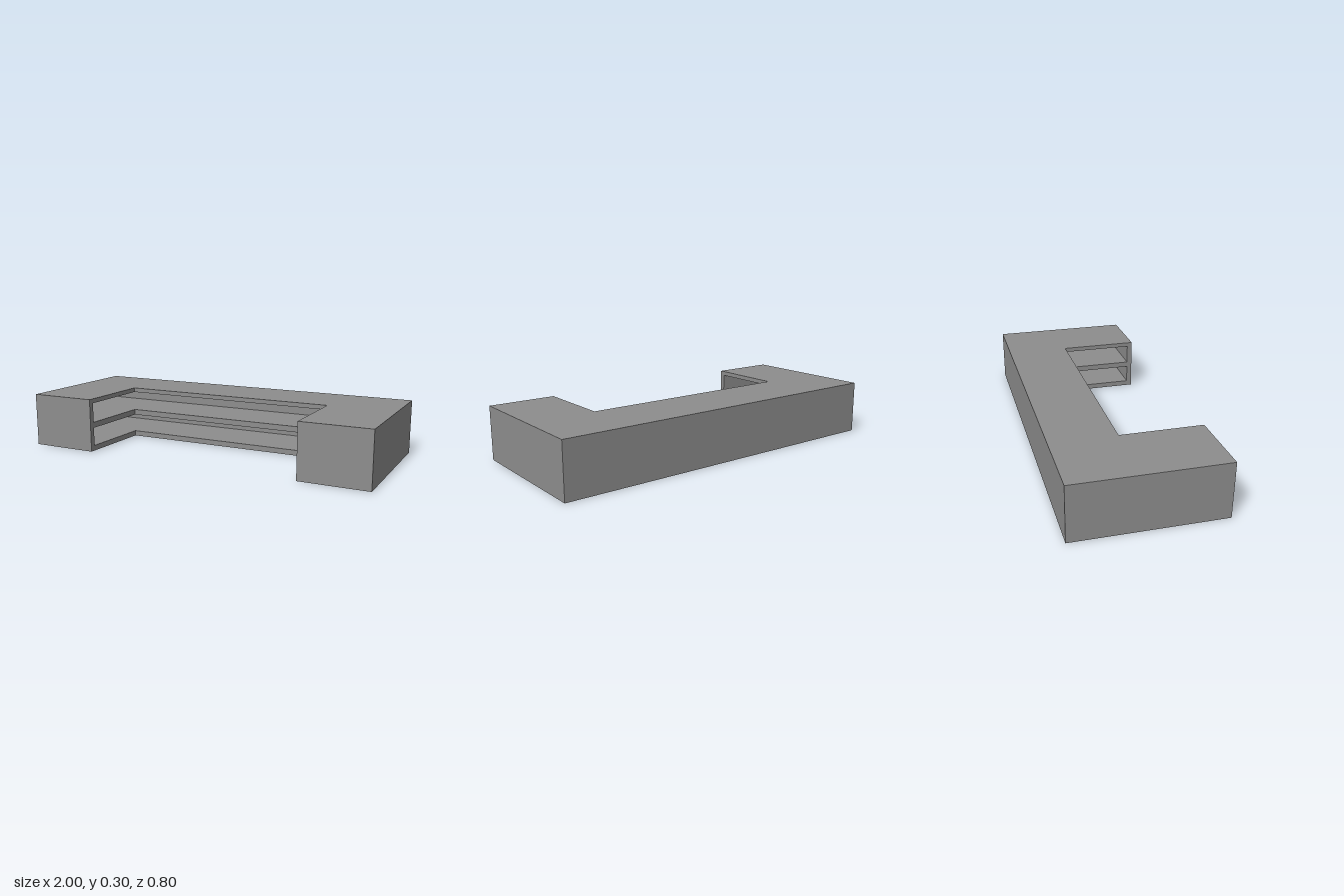
import * as THREE from 'three';

const X0 = -1, X1 = 1, Z0 = -0.4, Z1 = 0.4;         // outer footprint
const IN0 = -0.612, IN1 = 0.625, INZ = -0.047;      // inner edge of the U
const T = 0.03;                                     // panel thickness
const BASE = 0.03, TOP = 0.275, HEIGHT = 0.3;

export function createModel() {
  const group = new THREE.Group();
  const material = new THREE.MeshStandardMaterial({ color: 0x8d8d8d, flatShading: true });

  function add(name, geometry) {
    const mesh = new THREE.Mesh(geometry, material);
    mesh.name = name;
    group.add(mesh);
    return mesh;
  }

  // U-shaped board between two heights, its outer edges pulled in by inset
  function board(name, y0, y1, inset) {
    const l = X0 + inset, r = X1 - inset, b = Z0 + inset, f = Z1 - inset;
    const outline = [[l, f], [IN0, f], [IN0, INZ], [IN1, INZ], [IN1, f], [r, f], [r, b], [l, b]];
    const shape = new THREE.Shape(outline.map(([x, z]) => new THREE.Vector2(x, -z)));
    const geometry = new THREE.ExtrudeGeometry(shape, { depth: y1 - y0, bevelEnabled: false });
    geometry.rotateX(-Math.PI / 2).translate(0, y0, 0);
    add(name, geometry);
  }

  // Upright panel between the base and the countertop
  function panel(name, x0, x1, z0, z1) {
    const geometry = new THREE.BoxGeometry(x1 - x0, TOP - BASE, z1 - z0);
    add(name, geometry).position.set((x0 + x1) / 2, (BASE + TOP) / 2, (z0 + z1) / 2);
  }

  board('base', 0, BASE, 0);
  board('middleShelf', 0.133, 0.165, T);
  board('countertop', TOP, HEIGHT, 0);

  // Outer walls; the side facing into the U stays open
  panel('backPanel', X0, X1, Z0, Z0 + T);
  panel('rightSidePanel', X0, X0 + T, Z0 + T, Z1 - T);
  panel('leftSidePanel', X1 - T, X1, Z0 + T, Z1 - T);
  panel('rightFrontPanel', X0, IN0, Z1 - T, Z1);
  panel('leftFrontPanel', IN1, X1, Z1 - T, Z1);

  return group;
}
